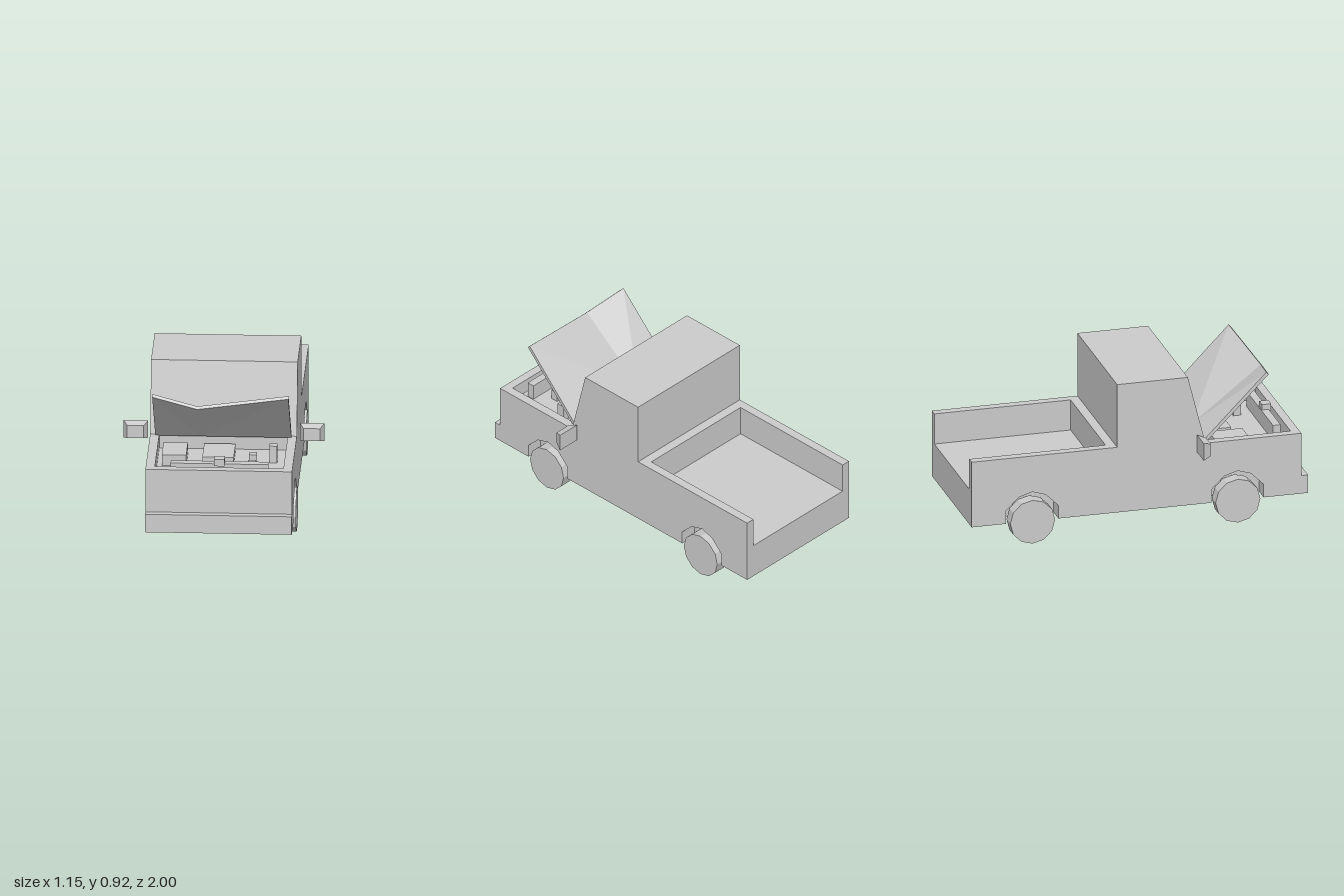
import * as THREE from 'three';

const material = new THREE.MeshStandardMaterial({ color: 0xcccccc, flatShading: true });
const AXLES = [-0.64, 0.58];
const BASE = 0.135;

function add(parent, name, geometry, x = 0, y = 0, z = 0) {
  const mesh = new THREE.Mesh(geometry, material);
  mesh.name = name;
  mesh.position.set(x, y, z);
  parent.add(mesh);
  return mesh;
}

// box given by its footprint centre, size and vertical span
function block(parent, name, x, z, w, d, bottom, top) {
  return add(parent, name, new THREE.BoxGeometry(w, top - bottom, d), x, (bottom + top) / 2, z);
}

// extrude a (z, y) side profile from x0 to x1
function slab(parent, name, profile, x0, x1) {
  const shape = new THREE.Shape(profile.map(([z, y]) => new THREE.Vector2(-z, y)));
  const geometry = new THREE.ExtrudeGeometry(shape, { depth: x1 - x0, bevelEnabled: false });
  geometry.rotateY(Math.PI / 2);
  return add(parent, name, geometry, x0);
}

// closed solid joining two loops of equal length
function loft(a, b) {
  const n = a.length, index = [];
  for (let i = 0; i < n; i++) {
    const j = (i + 1) % n;
    index.push(i, j, n + j, i, n + j, n + i);
  }
  for (let i = 1; i < n - 1; i++) index.push(0, i + 1, i, n, n + i, n + i + 1);
  const geometry = new THREE.BufferGeometry();
  geometry.setAttribute('position', new THREE.Float32BufferAttribute([...a, ...b].flat(), 3));
  geometry.setIndex(index);
  const flat = geometry.toNonIndexed();
  flat.computeVertexNormals();
  return flat;
}

export function createModel() {
  const truck = new THREE.Group();
  truck.name = 'pickupTruck';

  // body: side walls with wheel arches, and a core with engine bay and bed
  const nose = [[1, BASE], [1, 0.245], [0.96, 0.245], [0.96, 0.505]];
  const cab = [[0.39, 0.505], [0.285, 0.92], [-0.135, 0.92], [-0.135, 0.535]];
  const bay = [[0.91, 0.505], [0.91, 0.42], [0.39, 0.42]];
  const bed = [[-0.19, 0.535], [-0.19, 0.35], [-1, 0.35], [-1, BASE]];
  const arch = [[-0.155, BASE], [-0.155, 0.215], [-0.08, 0.29], [0, 0.315],
    [0.08, 0.29], [0.155, 0.215], [0.155, BASE]];
  const arches = AXLES.flatMap((c) => arch.map(([z, y]) => [c + z, y]));
  const inner = [...nose, ...bay, ...cab, ...bed];
  const outer = [...nose, ...cab, [-1, 0.535], [-1, BASE], ...arches];

  const body = new THREE.Group();
  body.name = 'body';
  truck.add(body);
  slab(body, 'bodyCore', inner, -0.32, 0.32);
  for (const [side, s] of [['left', 1], ['right', -1]]) {
    const span = (a, b) => (s > 0 ? [a, b] : [-b, -a]);
    slab(body, side + 'WheelWells', [...inner, ...arches], ...span(0.32, 0.368));
    slab(body, side + 'SideWall', outer, ...span(0.368, 0.42));
  }

  // wheels and axles
  for (const z of AXLES) {
    const end = z > 0 ? 'front' : 'rear';
    const axle = add(truck, end + 'Axle', new THREE.CylinderGeometry(0.04, 0.04, 0.72, 8), 0, BASE, z);
    axle.rotation.z = Math.PI / 2;
    for (const s of [-1, 1]) {
      const wheel = add(truck, end + (s > 0 ? 'LeftWheel' : 'RightWheel'),
        new THREE.CylinderGeometry(0.133, 0.133, 0.08, 12), s * 0.39, 0.134, z);
      wheel.rotation.z = Math.PI / 2;
    }
  }

  // raised, creased hood
  const hoodTop = [[-0.39, 0.515, 0.39], [-0.39, 0.89, 0.76], [-0.13, 0.835, 0.8],
    [0.39, 0.89, 0.755], [0.39, 0.515, 0.39], [-0.13, 0.515, 0.39]];
  const hoodUnder = hoodTop.map(([x, y, z]) => [x, y - 0.014, z + 0.014]);
  // start both loops at the hinge crease so the panels fan out from it
  const fan = (loop) => [loop[5], ...loop.slice(0, 5)];
  add(truck, 'hood', loft(fan(hoodUnder), fan(hoodTop)));

  // mirrors, tapering towards the front
  const rect = (w, h, z) => [[-w, -h, z], [w, -h, z], [w, h, z], [-w, h, z]];
  for (const s of [-1, 1]) {
    add(truck, s > 0 ? 'leftMirror' : 'rightMirror',
      loft(rect(0.07, 0.053, -0.024), rect(0.047, 0.038, 0.024)), s * 0.505, 0.513, 0.36);
  }

  // engine bay contents
  const engine = new THREE.Group();
  engine.name = 'engineBay';
  truck.add(engine);
  block(engine, 'radiator', 0, 0.853, 0.56, 0.045, 0.41, 0.514);
  block(engine, 'radiatorCap', 0, 0.863, 0.06, 0.055, 0.505, 0.547);
  block(engine, 'battery', -0.27, 0.57, 0.14, 0.2, 0.41, 0.485);
  block(engine, 'engineBlock', -0.02, 0.52, 0.18, 0.22, 0.41, 0.46);
  block(engine, 'fluidTank', 0.295, 0.58, 0.045, 0.045, 0.41, 0.523);
  block(engine, 'oilCap', 0.18, 0.61, 0.045, 0.045, 0.41, 0.48);
  block(engine, 'coolantCap', 0.18, 0.74, 0.045, 0.045, 0.41, 0.48);

  return truck;
}
